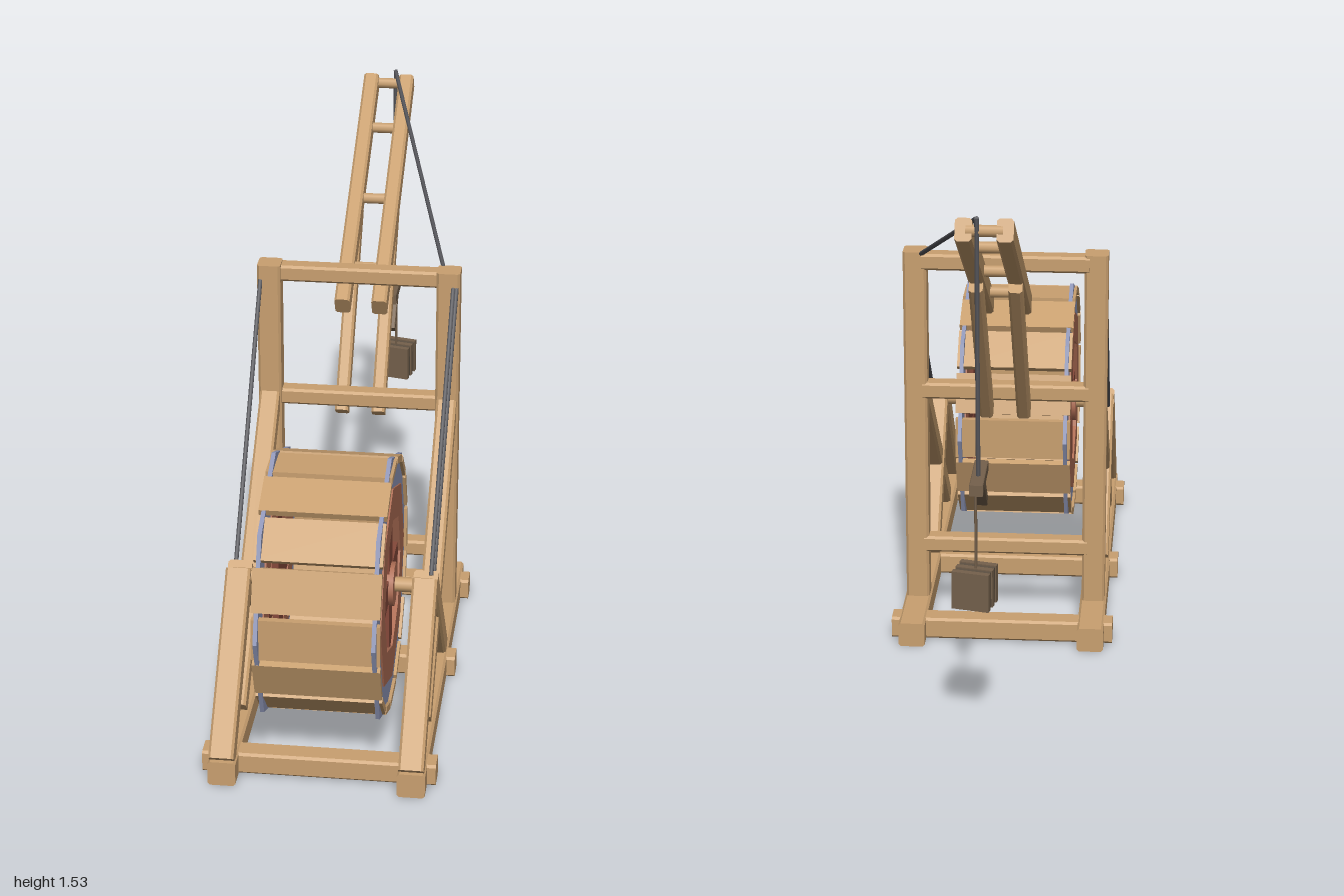
import * as THREE from 'three';

const mat = (name, color, side = THREE.FrontSide) => {
  const m = new THREE.MeshStandardMaterial({ color, side });
  m.name = name;
  return m;
};

export function createModel() {
  const root = new THREE.Group();
  root.name = 'treadwheelCrane';
  const wood = mat('wood', 0xc9a070);
  const rimBlue = mat('rimBlue', 0x9097b8);
  const rimRed = mat('rimRed', 0xb06f56);
  const spokeBrown = mat('spokeBrown', 0x85493a);
  const rope = mat('rope', 0x55555a);
  const darkWood = mat('darkWood', 0x75614c);
  const greyWood = mat('greyWood', 0x5d5042);

  const V = (p) => new THREE.Vector3(...p);
  const add = (name, geo, material, parent = root) => {
    const m = new THREE.Mesh(geo, material);
    m.name = name;
    parent.add(m);
    return m;
  };

  // Timber with chamfered long edges running from a to b
  const beam = (name, a, b, w, h, material = wood, c = 0.007) => {
    const x = w / 2, y = h / 2;
    const s = new THREE.Shape([
      [-x + c, -y], [x - c, -y], [x, -y + c], [x, y - c],
      [x - c, y], [-x + c, y], [-x, y - c], [-x, -y + c],
    ].map((p) => new THREE.Vector2(...p)));
    const geo = new THREE.ExtrudeGeometry(s, { depth: V(a).distanceTo(V(b)), bevelEnabled: false });
    const m = add(name, geo, material);
    m.position.set(...a);
    m.lookAt(V(b));
    return m;
  };

  // Round rod between two points
  const rod = (name, a, b, r, material, sides = 6) => {
    const d = V(b).sub(V(a));
    const m = add(name, new THREE.CylinderGeometry(r, r, d.length(), sides), material);
    m.position.copy(V(a)).addScaledVector(d, 0.5);
    m.quaternion.setFromUnitVectors(new THREE.Vector3(0, 1, 0), d.normalize());
    return m;
  };

  // Side frames: base rail, post, long brace and the A-shaped wheel support
  for (const s of [-1, 1]) {
    const x = s * 0.27;
    beam('baseRail', [x, 0.038, -0.3], [x, 0.038, 0.98], 0.08, 0.075);
    beam('post', [x, 0.05, -0.06], [x, 1.185, -0.06], 0.07, 0.07);
    beam('longBrace', [x, 0.09, 0.7], [x, 0.755, -0.04], 0.06, 0.06);
    beam('wheelSupportFront', [x, 0.075, 0.965], [x, 0.49, 0.6], 0.072, 0.065);
    beam('wheelSupportBack', [x, 0.075, 0.245], [x, 0.49, 0.6], 0.07, 0.065);
  }

  // Base cross beams
  for (const z of [-0.215, 0.275, 0.885]) {
    beam('baseCrossBeam', [-0.335, 0.038, z], [0.335, 0.038, z], 0.07, 0.066);
  }

  // Bars between the posts
  for (const y of [0.25, 0.75, 1.155]) {
    beam('postCrossBar', [-0.25, y, -0.07], [0.25, y, -0.07], 0.055, 0.05);
  }

  // Boom with struts and rungs
  for (const s of [-1, 1]) {
    const x = s * 0.056;
    beam('boomBeam', [x, 1.035, -0.1], [x, 1.495, -0.875], 0.046, 0.065);
    beam('boomStrut', [x, 0.69, -0.085], [x, 1.21, -0.465], 0.04, 0.055);
  }
  for (const z of [-0.23, -0.46, -0.705, -0.865]) {
    const y = 1.035 + 0.594 * (-0.1 - z);
    rod('boomRung', [-0.05, y, z], [0.05, y, z], 0.017, wood, 8);
  }

  // Treadwheel
  const wheel = new THREE.Group();
  wheel.name = 'treadWheel';
  wheel.position.set(0, 0.475, 0.6);
  root.add(wheel);

  const octagon = (r) => Array.from({ length: 8 }, (_, i) =>
    new THREE.Vector2(r * Math.cos(i * Math.PI / 4), r * Math.sin(i * Math.PI / 4)));
  const ring = (name, outer, inner, depth, x, material) => {
    const shape = new THREE.Shape(octagon(outer));
    shape.holes.push(new THREE.Path(octagon(inner).reverse()));
    const geo = new THREE.ExtrudeGeometry(shape, { depth, bevelEnabled: false });
    geo.translate(0, 0, -depth / 2).rotateY(Math.PI / 2);
    add(name, geo, material, wheel).position.x = x;
  };
  for (const s of [-1, 1]) {
    ring('outerRim', 0.4, 0.28, 0.012, s * 0.165, rimBlue);
    ring('innerRim', 0.305, 0.205, 0.022, s * 0.165, rimRed);
    add('uprightSpoke', new THREE.BoxGeometry(0.02, 0.44, 0.075), spokeBrown, wheel).position.x = s * 0.16;
    add('levelSpoke', new THREE.BoxGeometry(0.018, 0.075, 0.44), spokeBrown, wheel).position.x = s * 0.16;
    const hub = add('hub', new THREE.CylinderGeometry(0.065, 0.065, 0.03, 10), rimRed, wheel);
    hub.rotation.z = Math.PI / 2;
    hub.position.x = s * 0.168;
  }
  for (let i = 0; i < 16; i++) {
    const a = i * Math.PI / 8;
    const plank = add('treadPlank', new THREE.BoxGeometry(0.36, 0.02, 0.126), wood, wheel);
    plank.position.set(0, 0.36 * Math.cos(a), 0.36 * Math.sin(a));
    plank.rotation.x = a;
  }
  rod('axle', [-0.29, 0.475, 0.6], [0.29, 0.475, 0.6], 0.022, wood, 10);

  // Ropes
  const tip = [0.02, 1.527, -0.877];
  const hookTop = [0.018, 0.78, -0.88];
  rod('boomRope', [0.25, 1.18, -0.09], tip, 0.007, rope);
  rod('liftRope', tip, hookTop, 0.007, rope);
  for (const s of [-1, 1]) {
    rod('stayRope', [s * 0.295, 1.15, -0.04], [s * 0.285, 0.08, 0.9], 0.007, rope);
  }
  rod('wheelRope', [0.285, 1.15, -0.04], [0.285, 0.5, 0.585], 0.007, rope);

  // Hanging yoke and its small brace
  beam('yoke', [0.018, 0.78, -0.765], [0.018, 0.78, -0.955], 0.038, 0.032, darkWood, 0.002);
  beam('yokeBrace', [0.018, 0.675, -0.765], [0.018, 0.772, -0.865], 0.034, 0.028, darkWood, 0.002);
  for (const dz of [-0.006, 0.006]) {
    rod('crateRope', [0.02, 0.77, -0.942 + dz], [0.02, 0.54, -0.942 + dz], 0.004, darkWood);
  }

  // Crate of upright slats, slightly turned on its rope
  const crate = new THREE.Group();
  crate.name = 'crate';
  crate.position.set(0.023, 0.495, -0.944);
  crate.rotation.y = -0.23;
  root.add(crate);
  for (let i = 0; i < 5; i++) {
    const odd = i % 2;
    add('crateSlat', new THREE.BoxGeometry(odd ? 0.1 : 0.106, odd ? 0.104 : 0.11, 0.018),
      odd ? greyWood : darkWood, crate).position.z = (i - 2) * 0.018;
  }
  return root;
}
